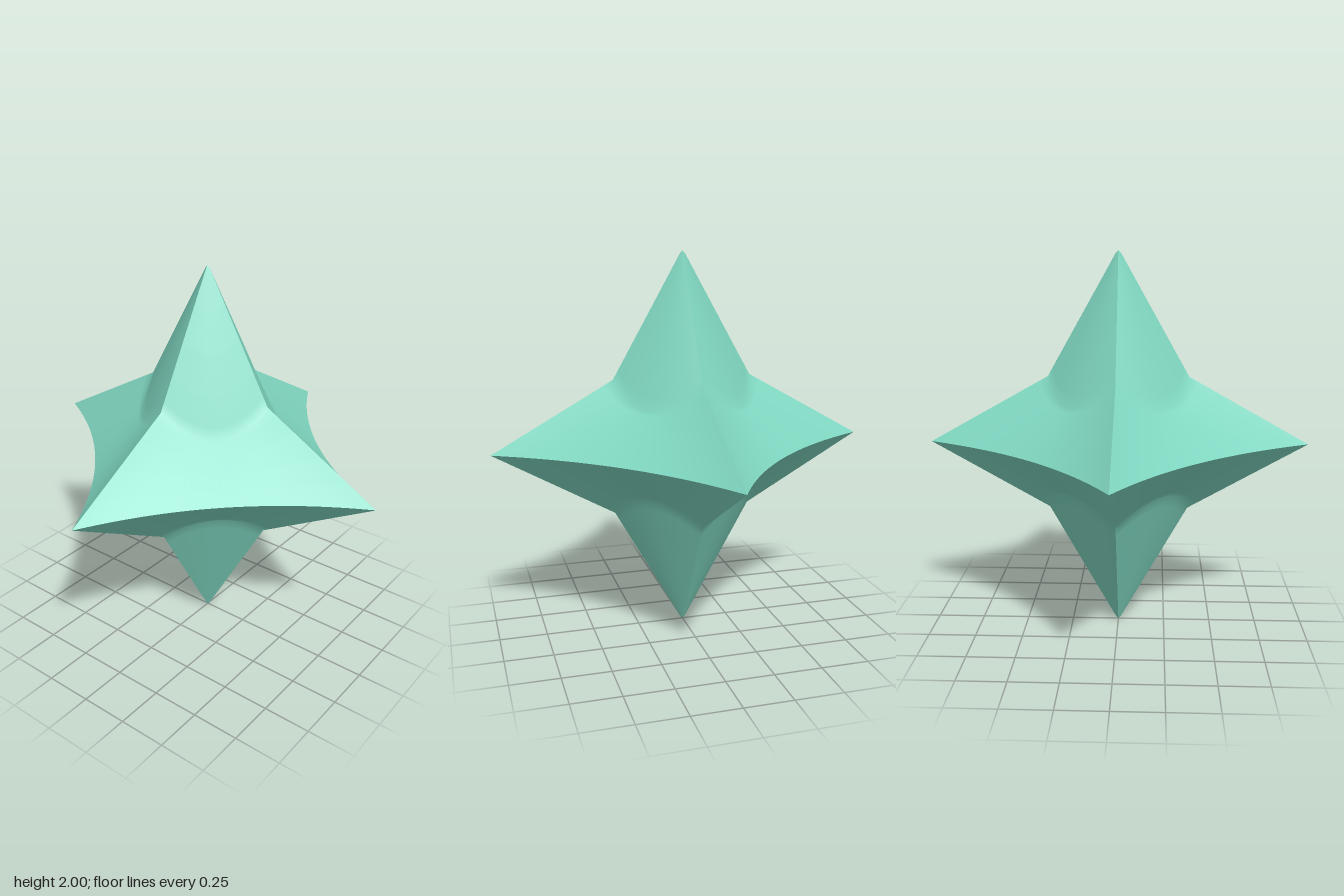
import * as THREE from 'three';

const V = (x, y, z) => new THREE.Vector3(x, y, z);

// One eighth of the star: four guide curves swept from the x ridge to the z ridge,
// joined by straight rulings from the upper tip down to the waist.
const guides = [
  new THREE.LineCurve3(V(0, 1, 0), V(0, 1, 0)), // tip
  new THREE.LineCurve3(V(0.014, 0.985, 0), V(0, 0.985, 0.014)), // blunted tip
  new THREE.QuadraticBezierCurve3(V(0.37, 0.355, 0), V(0.295, 0.1, 0.295), V(0, 0.355, 0.37)), // valley
  new THREE.QuadraticBezierCurve3(V(1, 0, 0), V(0.34, 0, 0.34), V(0, 0, 1)), // waist edge
];

// Rows as [guide index, fraction towards the next guide]; closer together at the valley
const rows = [
  [0, 0], [1, 0], [1, 0.25], [1, 0.5], [1, 0.75], [1, 0.92],
  [2, 0], [2, 0.08], [2, 0.25], [2, 0.5], [2, 0.75], [2, 1],
];
const STEPS = 32;

function octantGeometry(sx, sy, sz) {
  const positions = [];
  const index = [];
  for (const [g, t] of rows) {
    for (let i = 0; i <= STEPS; i++) {
      const s = i / STEPS;
      const p = guides[g].getPoint(s).lerp(guides[g + 1].getPoint(s), t);
      positions.push(p.x * sx, 1 + p.y * sy, p.z * sz);
    }
  }
  const mirrored = sx * sy * sz < 0;
  const face = (a, b, c) => index.push(a, ...(mirrored ? [c, b] : [b, c]));
  for (let r = 0; r < rows.length - 1; r++) {
    for (let i = 0; i < STEPS; i++) {
      const a = r * (STEPS + 1) + i;
      const d = a + STEPS + 1;
      if (r > 0) face(a, a + 1, d);
      face(a + 1, d + 1, d);
    }
  }
  const geometry = new THREE.BufferGeometry();
  geometry.setAttribute('position', new THREE.Float32BufferAttribute(positions, 3));
  geometry.setIndex(index);
  geometry.computeVertexNormals();
  return geometry;
}

export function createModel() {
  const mint = new THREE.MeshStandardMaterial({ color: 0x7fd6c0 });
  mint.name = 'mint';

  const star = new THREE.Group();
  star.name = 'sixPointedStar';

  // Eight mirrored eighths; separate meshes keep the ridges sharp
  for (const sy of [1, -1]) {
    for (const sx of [1, -1]) {
      for (const sz of [1, -1]) {
        const mesh = new THREE.Mesh(octantGeometry(sx, sy, sz), mint);
        mesh.name = `${sy > 0 ? 'upper' : 'lower'}${sz > 0 ? 'Front' : 'Back'}${sx > 0 ? 'Left' : 'Right'}Facet`;
        star.add(mesh);
      }
    }
  }
  return star;
}
